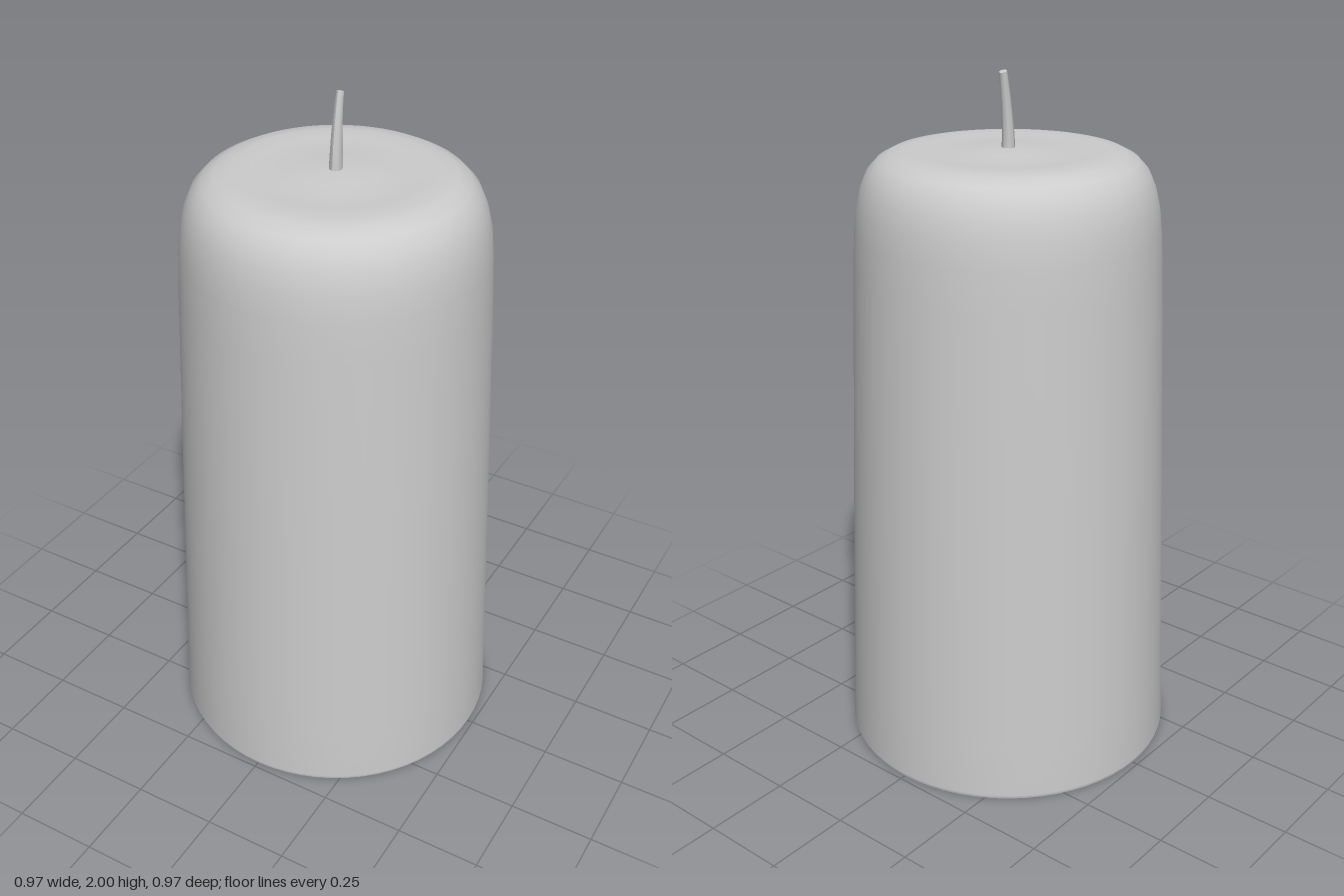
import * as THREE from 'three';

export function createModel() {
  const group = new THREE.Group();
  group.name = 'candle';
  const material = new THREE.MeshStandardMaterial({ color: 0xcccccc });
  const add = (name, geometry) => {
    const mesh = new THREE.Mesh(geometry, material);
    mesh.name = name;
    group.add(mesh);
    return mesh;
  };

  // Tapered wax body with a rounded shoulder and a shallow dip around the wick
  const profile = [
    [0.482, 0], [0.486, 0.012], [0.478, 0.2], [0.458, 0.8], [0.434, 1.45],
    [0.428, 1.56], [0.421, 1.63], [0.408, 1.685], [0.388, 1.73], [0.36, 1.76],
    [0.325, 1.778], [0.28, 1.785], [0.23, 1.783], [0.17, 1.781], [0.11, 1.786],
    [0.05, 1.79], [0, 1.791],
  ].map(([r, y]) => new THREE.Vector2(r, y));
  add('waxBody', new THREE.LatheGeometry(profile, 64));

  // Flat underside
  add('base', new THREE.CircleGeometry(0.482, 64)).rotation.x = Math.PI / 2;

  // Thin tapered wick, bending towards the back
  const height = 0.22;
  const wick = new THREE.CylinderGeometry(0.011, 0.019, height, 8, 8);
  wick.translate(0, height / 2, 0);
  const p = wick.attributes.position;
  for (let i = 0; i < p.count; i++) {
    const t = p.getY(i) / height;
    const z = p.getZ(i);
    p.setZ(i, z + 0.002 - 0.023 * t ** 1.8);
    p.setY(i, p.getY(i) + z * 0.3 * t - 0.003 * t);
  }
  wick.computeVertexNormals();
  add('wick', wick).position.y = 1.78;

  return group;
}
